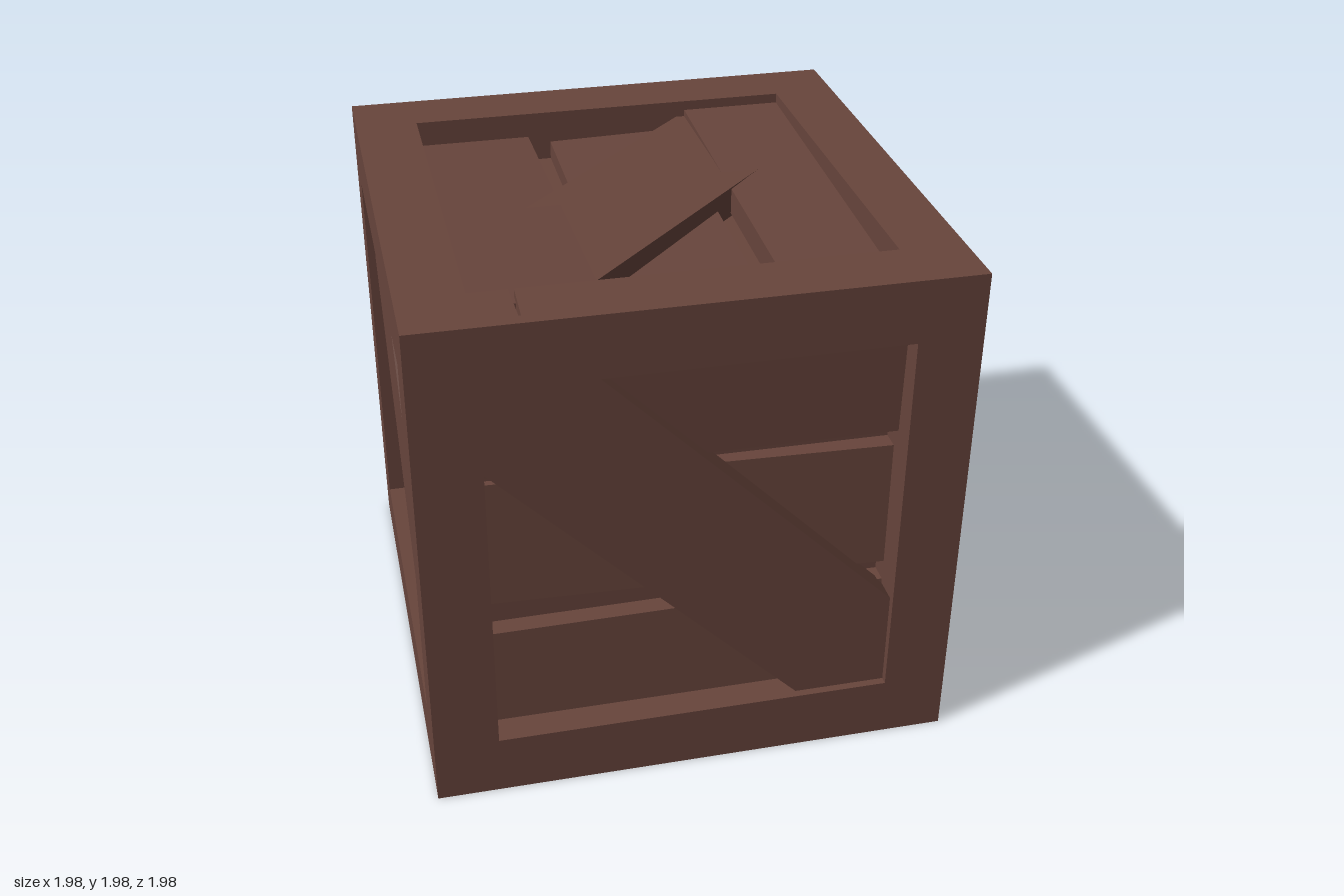
import * as THREE from 'three';

const HALF = 0.99;    // half the crate's size
const OPEN = 0.75;    // half the width of each window
const wood = new THREE.MeshStandardMaterial({ color: 0x68453c, flatShading: true });

function addMesh(parent, name, geometry) {
  const mesh = new THREE.Mesh(geometry, wood);
  mesh.name = name;
  parent.add(mesh);
  return mesh;
}

// Board cut to an outline; depthAt(x, y) is how far its face lies below the crate's surface
function board(outline, depthAt, thickness) {
  const shape = new THREE.Shape(outline.map(([x, y]) => new THREE.Vector2(x, y)));
  const geo = new THREE.ExtrudeGeometry(shape, { depth: 1, bevelEnabled: false });
  const p = geo.attributes.position;
  for (let i = 0; i < p.count; i++) {
    const front = p.getZ(i) > 0.5;
    p.setZ(i, HALF - depthAt(p.getX(i), p.getY(i)) - (front ? 0 : thickness));
  }
  geo.computeVertexNormals();
  return geo;
}

// Square beam, optionally with a tapering crack running in from its inner side
function beam(length, crack) {
  const w = (HALF - OPEN) / 2, h = length / 2;
  const s = new THREE.Shape();
  s.moveTo(-h, -w);
  if (crack !== undefined) {
    s.lineTo(crack - 0.01, -w);
    s.lineTo(crack - 0.004, 0.07);
    s.lineTo(crack + 0.004, 0.07);
    s.lineTo(crack + 0.01, -w);
  }
  s.lineTo(h, -w);
  s.lineTo(h, w);
  s.lineTo(-h, w);
  s.closePath();
  return new THREE.ExtrudeGeometry(s, { depth: 2 * w, bevelEnabled: false }).translate(0, 0, -w);
}

// Three rough planks and a diagonal brace, facing +z
function panel({ gaps, planks, brace }) {
  const g = new THREE.Group();
  const [hiB, hiT, loB, loT] = gaps;   // lower and upper limits of both gaps
  const e = 0.8;
  const rows = [[hiT, e, 0], [loT, hiB, 0.006], [-e, loB, -0.005]];
  rows.forEach(([b, t, skew], i) => {
    const outline = [[-e, b + skew], [e, b - skew], [e, t - skew], [-e, t + skew]];
    const [depth, slopeX, slopeY] = planks[i];
    const m = (b + t) / 2;
    addMesh(g, 'plank', board(outline, (x, y) => depth + slopeX * x + slopeY * (y - m), 0.1));
  });
  const o = OPEN;
  const { edge, depth, along, across } = brace;
  const outline = [[-o, o], [-o, 0.41], [0.4, -o], [o, -o], [o, edge], [edge, o]];
  addMesh(g, 'diagonalBrace', board(outline,
    (x, y) => depth + along * (x - y) * Math.SQRT1_2 + across * (x + y) * Math.SQRT1_2, 0.12));
  return g;
}

export function createModel() {
  const crate = new THREE.Group();
  crate.name = 'crate';
  const body = new THREE.Group();
  body.position.y = 1;
  crate.add(body);

  // Inner box that closes the gaps between the planks
  const inner = 2 * 0.79;
  addMesh(body, 'innerBox', new THREE.BoxGeometry(inner, inner, inner));

  // Frame: four full-height posts and eight rails
  const frame = new THREE.Group();
  frame.name = 'frame';
  body.add(frame);
  const X = new THREE.Vector3(1, 0, 0), Y = new THREE.Vector3(0, 1, 0), Z = new THREE.Vector3(0, 0, 1);
  const mid = (HALF + OPEN) / 2;
  const kinds = [
    ['post', Y, Z, X, 2 * HALF, 1, 1, -0.61],
    ['sideToSideRail', X, Z, Y.clone().negate(), 2 * OPEN, 1, -1, -0.6],
    ['frontToBackRail', Z, X, Y, 2 * OPEN, 0, 0, 0],
  ];
  for (const [name, a, b, c, length, crackB, crackC, crackAt] of kinds) {
    for (const sb of [-1, 1]) for (const sc of [-1, 1]) {
      const cracked = sb === crackB && sc === crackC;
      const geo = beam(length, cracked ? crackAt : undefined);
      geo.applyMatrix4(new THREE.Matrix4().makeBasis(a, b, c));
      const m = addMesh(frame, name, geo);
      m.position.addScaledVector(b, sb * mid).addScaledVector(c, sc * mid);
    }
  }

  // Panels: turn = quarter turns about x and y, spin = planks upright instead of level,
  // planks = [depth, slope along, slope across] from the top plank down
  const even = { edge: -0.36, depth: 0.03, along: 0, across: 0 };
  const panels = [
    { name: 'frontPanel', turn: [0, 0], gaps: [0.265, 0.34, -0.345, -0.25],
      planks: [[0.1, -0.01, -0.03], [0.15, -0.03, 0.01], [0.12, 0, 0.03]], brace: even },
    { name: 'rightPanel', turn: [0, 1], gaps: [0.255, 0.33, -0.33, -0.25],
      planks: [[0.1, 0, -0.02], [0.088, 0.01, 0.02], [0.12, 0, 0.03]],
      brace: { edge: -0.4, depth: 0.065, along: -0.05, across: -0.1 } },
    { name: 'backPanel', turn: [0, 2], spin: 1, gaps: [0.265, 0.34, -0.31, -0.24],
      planks: [[0.11, -0.01, -0.03], [0.13, 0, 0.02], [0.1, 0, 0.03]], brace: even },
    { name: 'leftPanel', turn: [0, -1], gaps: [0.255, 0.33, -0.33, -0.26],
      planks: [[0.1, 0, -0.03], [0.13, -0.01, 0], [0.11, 0, 0.03]], brace: even },
    { name: 'topPanel', turn: [-1, 0], spin: 1, gaps: [0.215, 0.3, -0.36, -0.29],
      planks: [[0.065, 0.045, 0], [0.13, -0.01, 0.02], [0.072, -0.045, 0]],
      brace: { edge: -0.32, depth: 0.065, along: 0, across: 0 } },
    { name: 'bottomPanel', turn: [1, 0], spin: 1, gaps: [0.255, 0.33, -0.33, -0.26],
      planks: [[0.11, 0, -0.03], [0.13, 0, 0.02], [0.1, -0.01, 0.03]], brace: even },
  ];
  const q = Math.PI / 2;
  for (const p of panels) {
    const g = panel(p);
    g.name = p.name;
    g.rotation.set(p.turn[0] * q, p.turn[1] * q, (p.spin || 0) * q);
    body.add(g);
  }
  return crate;
}
